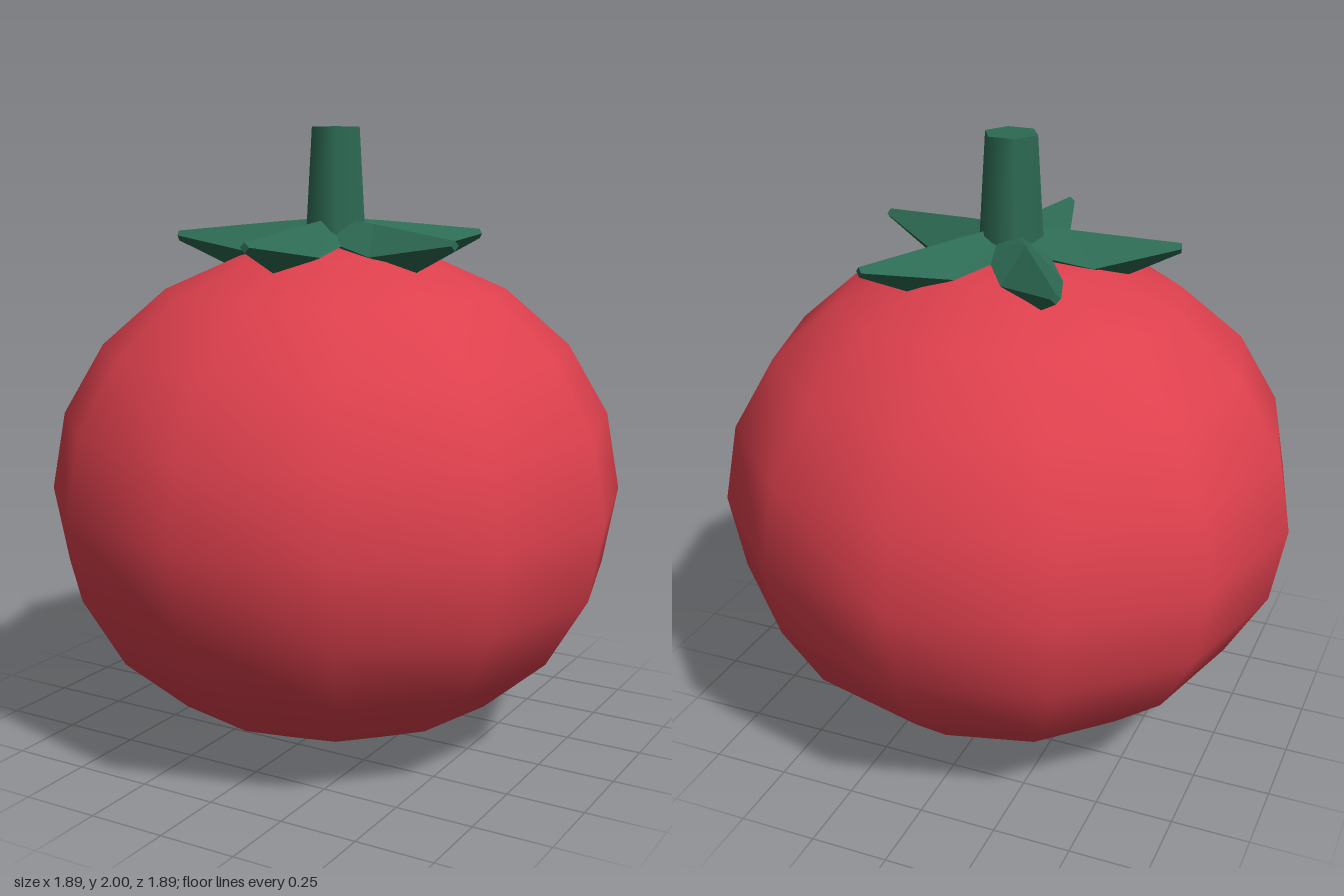
import * as THREE from 'three';

// Tapered leaf along +z: diamond cross-sections listed as top, left, bottom, right
function leafGeometry() {
  const rings = [
    [[0, 1.715, 0], [-0.097, 1.66, 0], [0, 1.6, 0], [0.097, 1.66, 0]],
    [[0, 1.7, 0.18], [-0.097, 1.605, 0.26], [0, 1.555, 0.36], [0.097, 1.605, 0.26]],
    [[0, 1.665, 0.53], [-0.016, 1.65, 0.53], [0, 1.633, 0.53], [0.016, 1.65, 0.53]],
  ];
  const pos = [];
  const tri = (...pts) => pts.forEach((p) => pos.push(...p));
  for (let i = 0; i < 2; i++) {
    for (let j = 0; j < 4; j++) {
      const k = (j + 1) % 4;
      const a = rings[i][j], b = rings[i][k], c = rings[i + 1][k], d = rings[i + 1][j];
      tri(a, b, d);
      tri(b, c, d);
    }
  }
  // blunt tip
  const t = rings[2];
  tri(t[0], t[1], t[2]);
  tri(t[0], t[2], t[3]);
  const geo = new THREE.BufferGeometry();
  geo.setAttribute('position', new THREE.Float32BufferAttribute(pos, 3));
  geo.computeVertexNormals();
  return geo;
}

export function createModel() {
  const red = new THREE.MeshStandardMaterial({ color: 0xdd404d });
  red.name = 'tomatoRed';
  const green = new THREE.MeshStandardMaterial({ color: 0x2d6a53 });
  green.name = 'leafGreen';

  const model = new THREE.Group();
  model.name = 'tomato';

  // Fruit: a slightly squashed low-poly sphere with smooth normals
  const fruit = new THREE.Mesh(new THREE.SphereGeometry(0.943, 12, 10), red);
  fruit.name = 'fruit';
  fruit.scale.y = 0.82 / 0.943;
  fruit.position.y = 0.82;
  model.add(fruit);

  // Six-sided tapered stem with corners on the x axis
  const stem = new THREE.Mesh(
    new THREE.CylinderGeometry(0.087, 0.113, 0.4, 6, 1, false, Math.PI / 6), green);
  stem.name = 'stem';
  stem.position.y = 1.8;
  model.add(stem);

  // Five leaves around the stem, the first pointing forward
  const leaves = new THREE.Group();
  leaves.name = 'leaves';
  const geo = leafGeometry();
  for (let i = 0; i < 5; i++) {
    const leaf = new THREE.Mesh(geo, green);
    leaf.name = 'leaf' + (i + 1);
    leaf.rotation.y = (i * Math.PI * 2) / 5;
    leaves.add(leaf);
  }
  model.add(leaves);
  return model;
}
